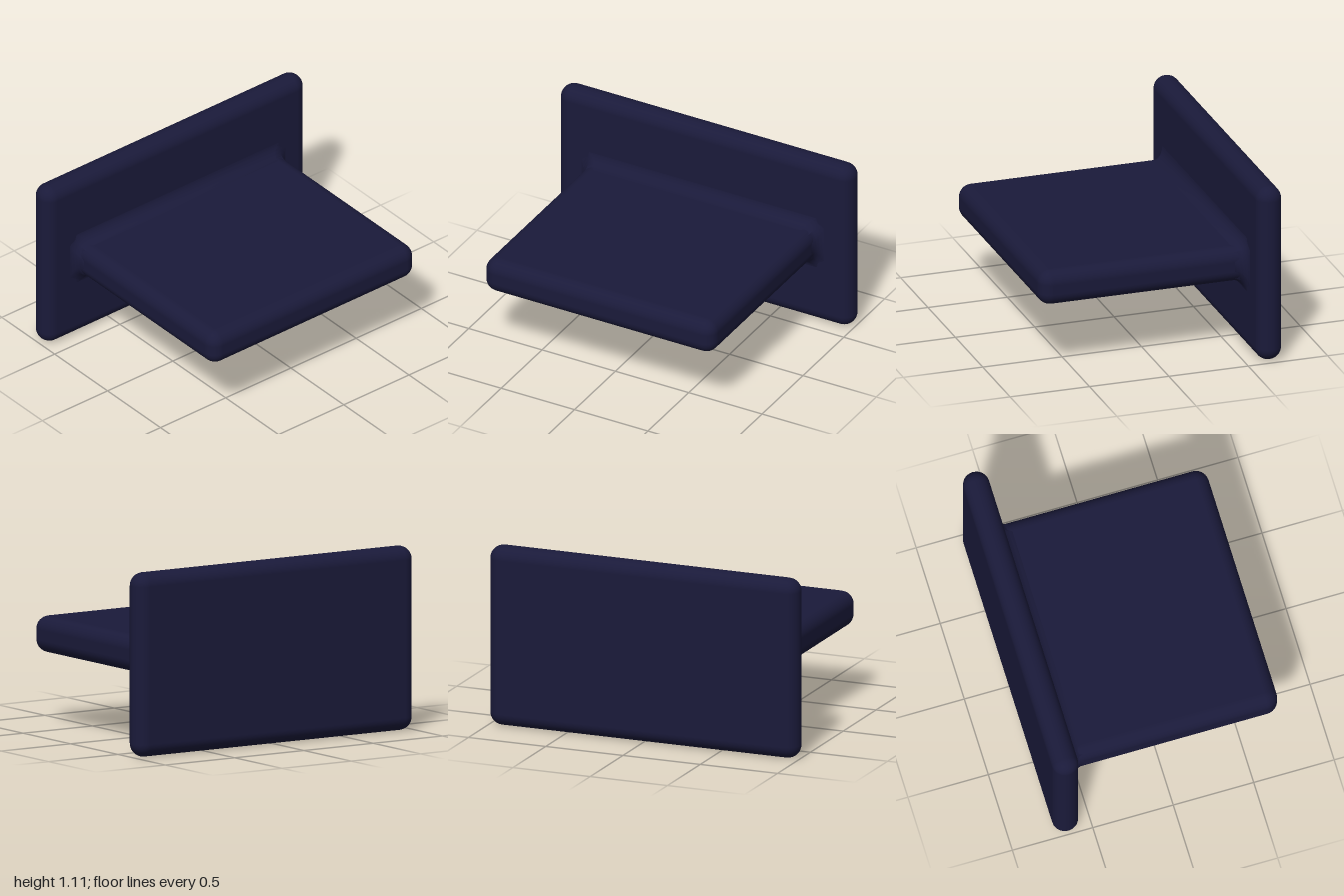
import * as THREE from 'three';
import { RoundedBoxGeometry } from 'three/addons/geometries/RoundedBoxGeometry.js';
import { toCreasedNormals } from 'three/addons/utils/BufferGeometryUtils.js';

const lerp = THREE.MathUtils.lerp;
const CENTRE_Y = 0.555, HALF_W = 0.785, HALF_H = 0.11, RADIUS = 0.08;

// Concave collar: rings that flare from the shelf's section out to the plate
function collarGeometry(steps = 6) {
  const pos = [], index = [];
  for (let s = 0; s <= steps; s++) {
    const a = (s / steps) * Math.PI / 2;
    const flare = 1 - Math.cos(a);
    const z = -0.49 - 0.085 * Math.sin(a);
    const diag = RADIUS * (1 - Math.SQRT1_2);
    // one corner: side end, notch, top end
    const corner = [
      [HALF_W + 0.06 * flare, lerp(HALF_H - RADIUS, 0.15, flare)],
      [lerp(HALF_W - diag, 0.795, flare), lerp(HALF_H - diag, 0.165, flare)],
      [lerp(HALF_W - RADIUS, 0.805, flare), HALF_H + 0.09 * flare],
    ];
    const back = [...corner].reverse();
    const ring = [
      ...corner,
      ...back.map(([x, y]) => [-x, y]),
      ...corner.map(([x, y]) => [-x, -y]),
      ...back.map(([x, y]) => [x, -y]),
    ];
    ring.forEach(([x, y]) => pos.push(x, y + CENTRE_Y, z));
  }
  const n = 12;
  for (let s = 0; s < steps; s++) {
    for (let i = 0; i < n; i++) {
      const j = (i + 1) % n, near = s * n, far = near + n;
      index.push(far + i, far + j, near + j, far + i, near + j, near + i);
    }
  }
  const geo = new THREE.BufferGeometry();
  geo.setAttribute('position', new THREE.Float32BufferAttribute(pos, 3));
  geo.setIndex(index);
  return toCreasedNormals(geo, 0.6);
}

export function createModel() {
  const group = new THREE.Group();
  const material = new THREE.MeshStandardMaterial({ color: 0x1a1a3a });
  const add = (name, geometry, y = 0, z = 0) => {
    const mesh = new THREE.Mesh(geometry, material);
    mesh.name = name;
    mesh.position.set(0, y, z);
    group.add(mesh);
  };

  // Upright plate at the back
  add('backPlate', new RoundedBoxGeometry(2, 1.11, 0.16, 4, 0.0799), CENTRE_Y, -0.65);
  // Horizontal slab reaching forward, its rear end buried in the plate
  add('shelf', new RoundedBoxGeometry(HALF_W * 2, HALF_H * 2, 1.38, 4, RADIUS), CENTRE_Y, 0.04);
  // Flared joint between the two
  const collar = collarGeometry();
  add('joint', collar);
  return group;
}
